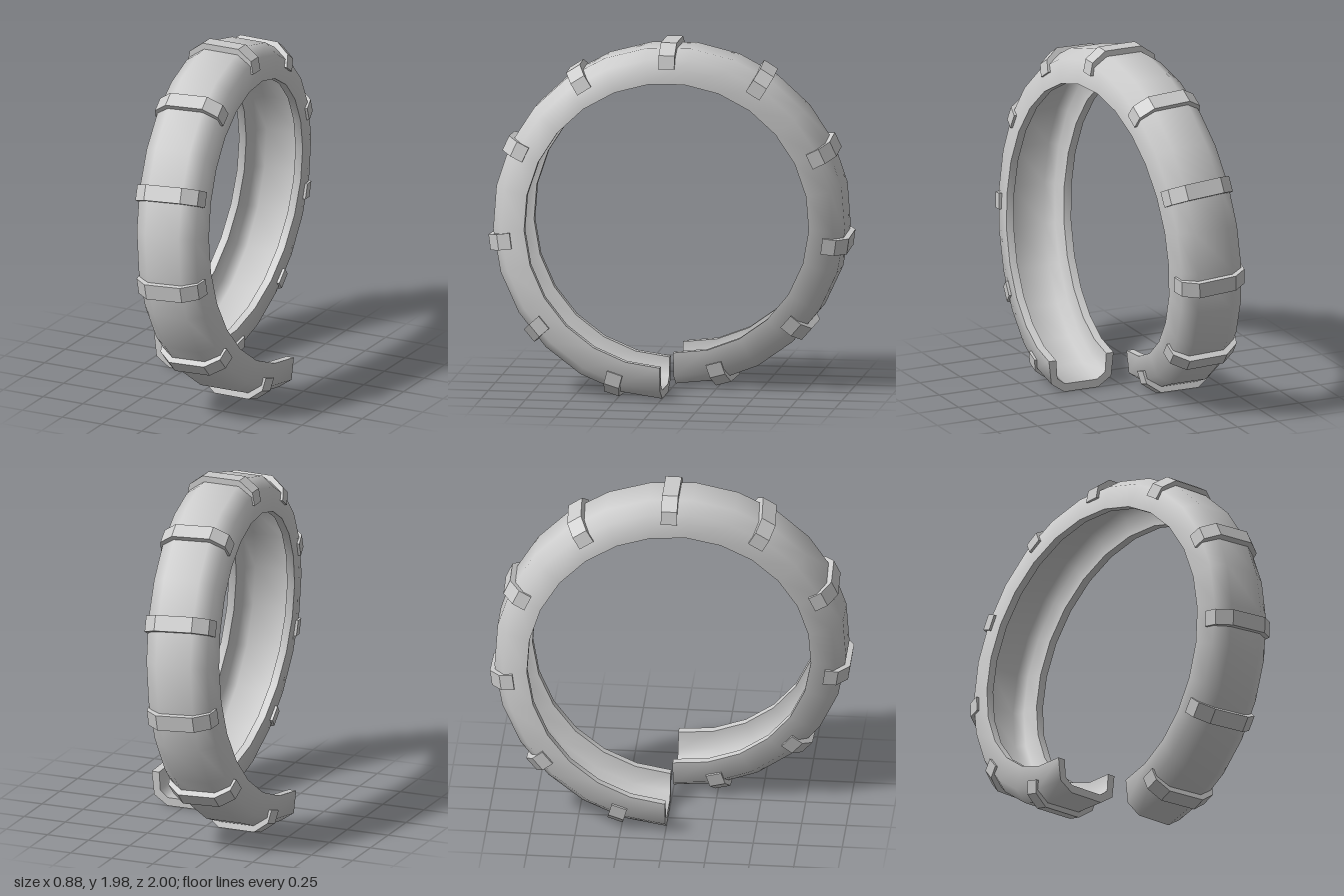
import * as THREE from 'three';
import { toCreasedNormals } from 'three/addons/utils/BufferGeometryUtils.js';

const CENTRE_Y = 0.977; // height of the loop's axis
const PITCH = 0.24 / Math.PI; // sideways drift per radian
const SEGMENTS = 25;
const RIBS = 11;

// Closed U-shaped section from half an outer and half an inner outline: [half width, radius]
function channelShape(outer, inner) {
  const mirror = (pts) => pts.map(([x, r]) => [-x, r]).reverse();
  const loop = [...outer, ...mirror(outer), ...inner.map(([x, r]) => [-x, r]), ...mirror(inner).map(([x, r]) => [-x, r])];
  return new THREE.Shape(loop.map(([x, r]) => new THREE.Vector2(x, r)));
}

const bodyShape = channelShape(
  [[0.2, 0.787], [0.185, 0.922], [0.105, 0.977]],
  [[0.155, 0.787], [0.148, 0.893], [0.1, 0.93]]
);
const ribShape = channelShape(
  [[0.206, 0.868], [0.192, 0.943], [0.112, 1.003]],
  [[0.172, 0.868], [0.165, 0.91], [0.1, 0.955]]
);

// One full turn of the channel, bent from a straight extrusion into a helix
function bandGeometry() {
  const geo = new THREE.ExtrudeGeometry(bodyShape, { depth: 1, steps: SEGMENTS, bevelEnabled: false });
  const p = geo.attributes.position;
  for (let i = 0; i < p.count; i++) {
    const angle = (p.getZ(i) * 2 - 1) * Math.PI;
    const r = p.getY(i);
    p.setXYZ(i, p.getX(i) + PITCH * angle, CENTRE_Y + r * Math.cos(angle), r * Math.sin(angle));
  }
  return toCreasedNormals(geo, 1.0);
}

export function createModel() {
  const model = new THREE.Group();
  model.name = 'helicalBand';
  const material = new THREE.MeshStandardMaterial({ color: 0xcccccc });

  const band = new THREE.Mesh(bandGeometry(), material);
  band.name = 'channelBand';
  model.add(band);

  // Straight raised ribs, evenly spaced and square to the helix
  const ribWidth = 0.09;
  const ribGeo = new THREE.ExtrudeGeometry(ribShape, { depth: ribWidth, bevelEnabled: false });
  ribGeo.translate(0, 0, -ribWidth / 2);
  const ribs = new THREE.Group();
  ribs.name = 'ribs';
  const half = (RIBS - 1) / 2;
  for (let k = -half; k <= half; k++) {
    const angle = (k * 2 * Math.PI) / RIBS;
    const rib = new THREE.Mesh(toCreasedNormals(ribGeo, 0.5), material);
    rib.name = 'rib';
    rib.position.set(PITCH * angle, CENTRE_Y, 0);
    rib.rotation.set(angle, k === 0 ? 0 : 0.07, 0);
    ribs.add(rib);
  }
  model.add(ribs);
  return model;
}
